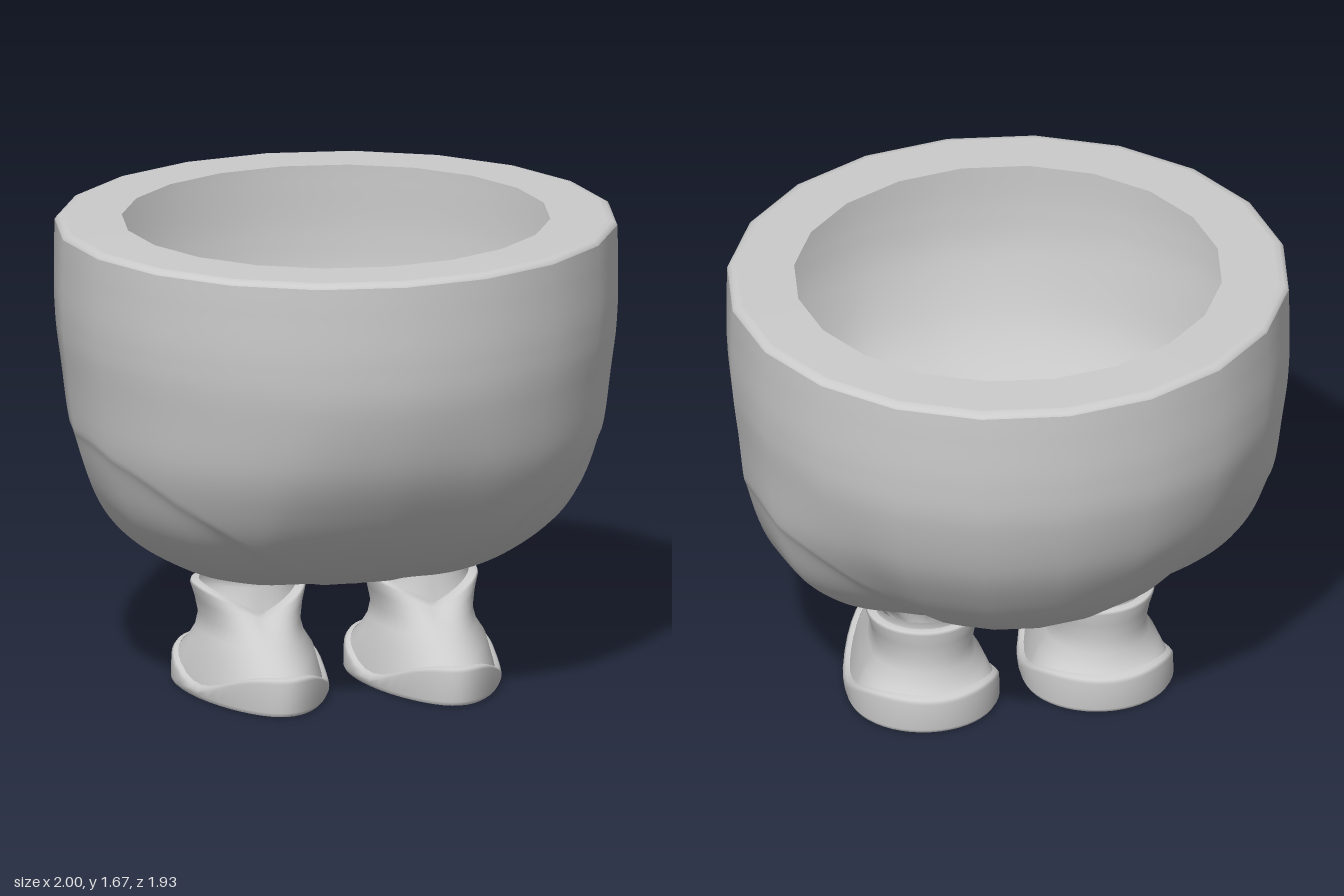
import * as THREE from 'three';
import { mergeVertices } from 'three/addons/utils/BufferGeometryUtils.js';

const SIDES = 20;    // corners of the bowl outline
const SEGMENTS = 160;
const DEPTH = 0.965; // bowl is slightly shallower than wide
const LEG_X = 0.315, LEG_Z = -0.034, LEG_R = 0.174, LEG_TOP = 0.4;

const { smoothstep, lerp } = THREE.MathUtils;
const material = new THREE.MeshStandardMaterial({ color: 0xcccccc, side: THREE.DoubleSide });

const v2 = (list) => list.map(([x, y]) => new THREE.Vector2(x, y));

// Widens the lower sides into thighs that lean forward, with a slanted crease
function shapeThighs(p) {
  const r = Math.hypot(p.x, p.z / DEPTH);
  if (r < 1e-6) return;
  const sign = Math.sign(p.x);
  const across = Math.abs(p.x) / r;
  const along = p.z / DEPTH / r;
  const amount = 0.185 * (1 - smoothstep(p.y, 0.4, 1.25)) * smoothstep(r, 0, 0.3);
  const weight = smoothstep(across + 0.5 * along, 0.35, 0.85) * smoothstep(across, 0, 0.4);
  p.x += sign * amount * weight;
  const s = 0.552 * (Math.abs(p.x) - 0.95) - 0.833 * (p.y - 0.95);
  if (s > 0) {
    const dent = 0.5 * s * Math.exp(-s / 0.05) * smoothstep(across, 0, 0.2);
    p.x -= sign * 0.552 * dent;
    p.y += 0.833 * dent;
  }
}

// Moves a point inside a leg opening onto its edge; tells whether it did
function snapToLeg(p) {
  const side = p.x < 0 ? -1 : 1;
  const dx = p.x - side * LEG_X, dz = p.z - LEG_Z;
  const d = Math.hypot(dx, dz);
  if (d >= LEG_R) return false;
  const k = LEG_R / Math.max(d, 1e-6);
  p.set(side * LEG_X + dx * k, LEG_TOP, LEG_Z + dz * k);
  return true;
}

// Revolves a profile, then flattens it into SIDES facets while keeping the
// smooth normals. With legs, shapes the thighs and opens the bottom above the feet.
function revolve(name, points, legs = false) {
  let geo = new THREE.LatheGeometry(points, SEGMENTS);
  geo.deleteAttribute('normal');
  geo.deleteAttribute('uv');
  geo = mergeVertices(geo, 1e-5);
  const pos = geo.attributes.position;
  const p = new THREE.Vector3();
  const open = [];
  for (let i = 0; i < pos.count; i++) {
    p.fromBufferAttribute(pos, i);
    p.z *= DEPTH;
    if (legs) {
      shapeThighs(p);
      open[i] = snapToLeg(p);
    }
    pos.setXYZ(i, p.x, p.y, p.z);
  }
  if (legs) {
    const kept = [];
    const index = geo.index.array;
    for (let i = 0; i < index.length; i += 3) {
      const tri = [index[i], index[i + 1], index[i + 2]];
      if (!tri.every((j) => open[j])) kept.push(...tri);
    }
    geo.setIndex(kept);
  }
  geo.computeVertexNormals();
  const step = (2 * Math.PI) / SIDES;
  for (let i = 0; i < pos.count; i++) {
    p.fromBufferAttribute(pos, i);
    const a = Math.atan2(p.x, p.z / DEPTH) + 2 * Math.PI;
    const k = open[i] ? 1 : Math.cos(step / 2) / Math.cos((a % step) - step / 2);
    pos.setXYZ(i, p.x * k, p.y, p.z * k);
  }
  const mesh = new THREE.Mesh(geo, material);
  mesh.name = name;
  return mesh;
}

// Lofts closed rings of points into one smooth strip
function loft(name, rings) {
  const n = rings[0].length;
  const index = [];
  for (let r = 0; r < rings.length - 1; r++) {
    for (let i = 0; i < n; i++) {
      const a = r * n + i, b = r * n + ((i + 1) % n);
      index.push(a, a + n, b, b, a + n, b + n);
    }
  }
  const geo = new THREE.BufferGeometry();
  geo.setAttribute('position', new THREE.Float32BufferAttribute(rings.flat(2), 3));
  geo.setIndex(index);
  geo.computeVertexNormals();
  const mesh = new THREE.Mesh(geo, material);
  mesh.name = name;
  return mesh;
}

// Foot-shaped ring: half width, front z, back z, height rule and toe taper
function footRing(half, front, back, height, taper = 0) {
  const n = 48, mid = LEG_Z;
  return Array.from({ length: n }, (_, i) => {
    const a = (i / n) * 2 * Math.PI;
    const c = Math.cos(a), s = Math.sin(a);
    const z = mid + s * (s > 0 ? front - mid : mid - back);
    return [half * c * (1 - taper * Math.max(0, s) ** 2), height(z, s, c), z];
  });
}

function createFoot() {
  const foot = new THREE.Group();
  const flat = (y) => () => y;
  // Wavy upper edge of the sole, high at toe and heel
  const wave = (lift) => (z) => lift + 0.085 + 0.048 * Math.cos((2 * Math.PI * (z - 0.53)) / 0.78);
  // Boot collar dropping to a V in front
  const collar = (y, front) => (z, s, c) => lerp(y, front, s > 0 ? 1 - Math.abs(c) : 0);

  const base = footRing(0.262, 0.52, -0.295, flat(0), 0.2);
  foot.add(loft('soleBottom', [base.map(() => [0, 0, 0.05]), base]));
  foot.add(loft('sole', [
    base,
    footRing(0.27, 0.53, -0.305, flat(0.015), 0.2),
    footRing(0.268, 0.53, -0.305, wave(-0.012), 0.2),
    footRing(0.26, 0.52, -0.297, wave(0), 0.2),
    footRing(0.245, 0.49, -0.27, wave(0.006), 0.2),
  ]));
  foot.add(loft('boot', [
    footRing(0.247, 0.49, -0.272, wave(0), 0.2),
    footRing(0.217, 0.44, -0.25, flat(0.15), 0.2),
    footRing(0.185, 0.35, -0.228, flat(0.2), 0.1),
    footRing(0.174, 0.285, -0.22, collar(0.25, 0.235)),
    footRing(0.187, 0.24, -0.225, collar(0.31, 0.255)),
    footRing(0.203, 0.21, -0.234, collar(0.36, 0.275)),
    footRing(0.199, 0.2, -0.23, collar(0.37, 0.284)),
    footRing(0.172, 0.16, -0.205, collar(0.372, 0.285)),
  ]));
  foot.add(loft('ankle', [
    footRing(0.172, 0.16, -0.205, collar(0.365, 0.28)),
    footRing(0.168, 0.136, -0.202, flat(0.378)),
    footRing(LEG_R, LEG_Z + LEG_R, LEG_Z - LEG_R, flat(LEG_TOP)),
  ]));
  return foot;
}

export function createModel() {
  const model = new THREE.Group();
  model.name = 'footedBowl';

  // Thin bowl wall, open above the hollow legs
  const wall = new THREE.SplineCurve(v2([
    [0, 0.375], [0.2, 0.388], [0.36, 0.43], [0.515, 0.505], [0.67, 0.625], [0.797, 0.775],
    [0.905, 0.955], [0.978, 1.18], [0.999, 1.36], [1, 1.55], [0.998, 1.655],
  ])).getPoints(110);
  model.add(revolve('bowlWall', wall, true));

  // Rounded edge and flat inward rim
  model.add(revolve('rimEdge', v2([[0.998, 1.655], [0.993, 1.664], [0.982, 1.67], [0.965, 1.673]])));
  model.add(revolve('rim', v2([[0.965, 1.673], [0.76, 1.675]])));

  // Feet
  for (const [side, name] of [[1, 'leftFoot'], [-1, 'rightFoot']]) {
    const foot = createFoot();
    foot.name = name;
    foot.position.x = side * LEG_X;
    model.add(foot);
  }
  return model;
}
